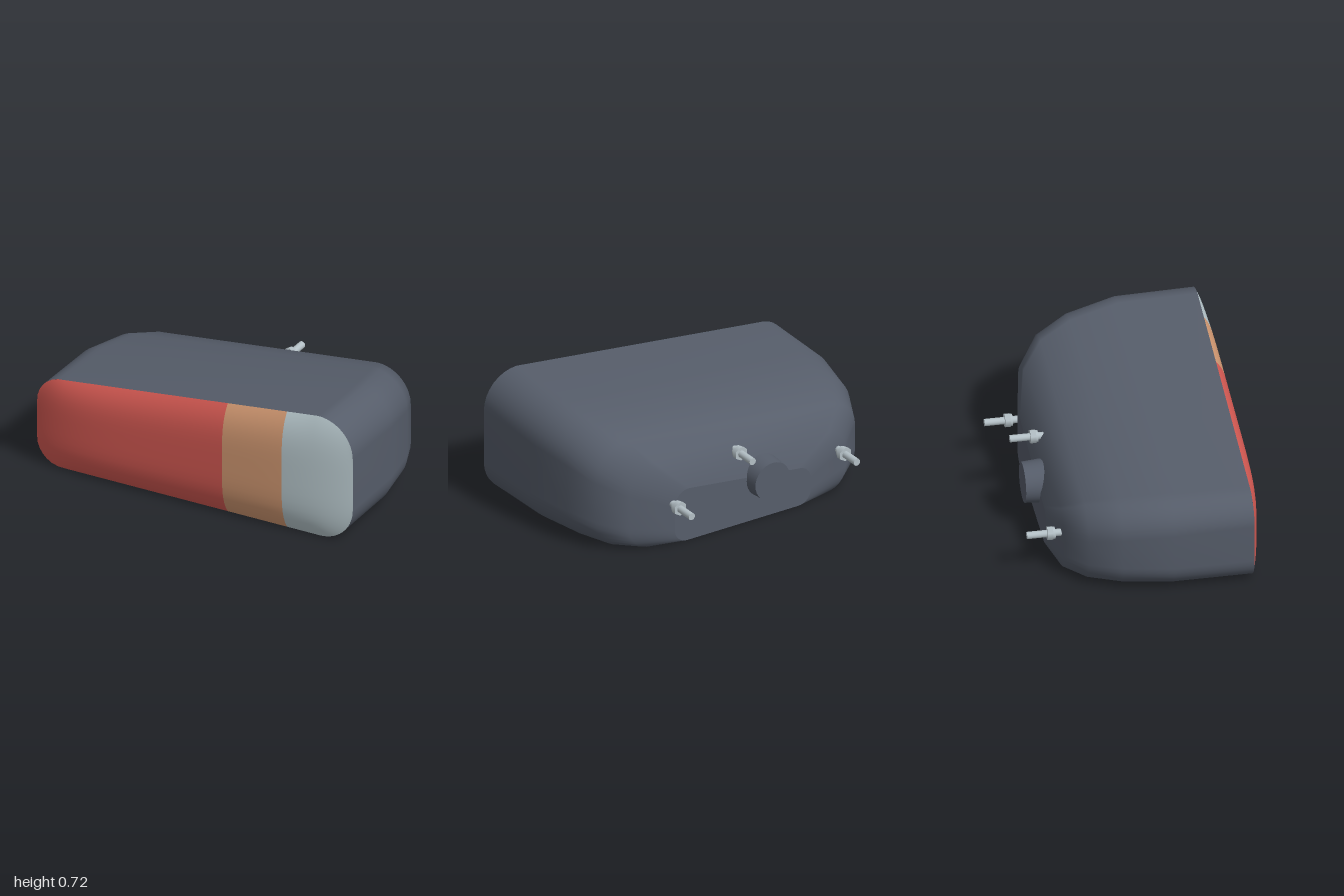
import * as THREE from 'three';

const material = (name, color) => {
  const m = new THREE.MeshStandardMaterial({ color });
  m.name = name;
  return m;
};

const FRONT = 0.48;
const rim = { w: FRONT, l: -1.03, r: 0.89, drop: 0, rad: [0.2, 0.21, 0.16, 0.15] };
const topLine = (u, drop = 0) => 0.634 + 0.12 * u - drop;

// Rounded, sloping-top outline, counter-clockwise: lower right, upper right, upper left, lower left
function corners({ l, r, drop, rad }) {
  return [
    [r - rad[0], rad[0], rad[0]],
    [r - rad[1], topLine(r - rad[1], drop) - rad[1], rad[1]],
    [l + rad[2], topLine(l + rad[2], drop) - rad[2], rad[2]],
    [l + rad[3], rad[3], rad[3]],
  ];
}

function outline(section, steps = 8) {
  const pts = [];
  corners(section).forEach(([cx, cy, rad], k) => {
    for (let i = 0; i <= steps; i++) {
      const a = (k - 1 + i / steps) * Math.PI / 2;
      pts.push([cx + rad * Math.cos(a), cy + rad * Math.sin(a), section.w]);
    }
  });
  return pts;
}

function surface(points, index) {
  const g = new THREE.BufferGeometry();
  g.setAttribute('position', new THREE.Float32BufferAttribute(points.flat(), 3));
  g.setIndex(index);
  g.computeVertexNormals();
  return g;
}

// Housing shell, lofted from the front rim to the back
function housingGeometry(sections) {
  const rings = sections.map((s) => outline(s));
  const n = rings[0].length;
  const index = [];
  for (let i = 0; i < rings.length - 1; i++) {
    for (let j = 0; j < n; j++) {
      const a = i * n + j, b = i * n + (j + 1) % n;
      index.push(a, a + n, b, b, a + n, b + n);
    }
  }
  return surface(rings.flat(), index);
}

// Flat back wall
function capGeometry(section) {
  const ring = outline(section);
  const n = ring.length;
  const index = [];
  for (let j = 0; j < n; j++) index.push(n, (j + 1) % n, j);
  return surface([...ring, [(section.l + section.r) / 2, 0.14, section.w]], index);
}

// Lower and upper edge of the front rim at a given u
function span(u) {
  const [br, tr, tl, bl] = corners(rim);
  const arc = ([cx, , rad]) => Math.sqrt(Math.max(0, rad * rad - (u - cx) ** 2));
  let lo = 0, hi;
  if (u > br[0]) lo = br[1] - arc(br);
  if (u < bl[0]) lo = bl[1] - arc(bl);
  if (u > tr[0]) hi = tr[1] + arc(tr);
  else if (u < tl[0]) hi = tl[1] + arc(tl);
  else hi = THREE.MathUtils.lerp(tl[1] + tl[2], tr[1] + tr[2], (u - tl[0]) / (tr[0] - tl[0]));
  return [lo, hi];
}

// Domed lens strip between two u positions
function lensGeometry(u0, u1, cols = 28, rows = 20) {
  const pts = [], index = [];
  for (let i = 0; i <= cols; i++) {
    const u = u0 + (u1 - u0) * (1 - Math.cos(Math.PI * i / cols)) / 2;
    const [lo, hi] = span(u);
    const s = (u - (rim.l + rim.r) / 2) / ((rim.r - rim.l) / 2);
    for (let j = 0; j <= rows; j++) {
      const t = -Math.cos(Math.PI * j / rows);
      const dome = 0.065 * (1 - Math.abs(t) ** 4) * (1 - Math.abs(s) ** 5);
      pts.push([u, lo + (hi - lo) * (t + 1) / 2, FRONT + dome]);
      if (i < cols && j < rows) {
        const a = i * (rows + 1) + j, c = a + rows + 1;
        index.push(a, c, a + 1, a + 1, c, c + 1);
      }
    }
  }
  return surface(pts, index);
}

export function createModel() {
  const model = new THREE.Group();
  model.name = 'vehicleRearLamp';
  const lamp = new THREE.Group();
  lamp.name = 'lamp';
  lamp.rotation.y = THREE.MathUtils.degToRad(20);
  model.add(lamp);

  const housingMat = material('dark grey housing', 0x565d6a);
  const redMat = material('red lens', 0xd65a53);
  const amberMat = material('amber lens', 0xd49a73);
  const clearMat = material('clear lens', 0xb8c8cd);
  const metalMat = material('steel', 0xb4c0c6);

  const add = (parent, name, geometry, mat) => {
    const mesh = new THREE.Mesh(geometry, mat);
    mesh.name = name;
    parent.add(mesh);
    return mesh;
  };

  // Housing
  const sections = [
    rim,
    { w: 0.05, l: -1.03, r: 0.885, drop: 0.005, rad: [0.2, 0.21, 0.17, 0.15] },
    { w: -0.22, l: -0.98, r: 0.83, drop: 0.04, rad: [0.19, 0.21, 0.17, 0.15] },
    { w: -0.39, l: -0.9, r: 0.757, drop: 0.1, rad: [0.17, 0.2, 0.16, 0.14] },
    { w: -0.5, l: -0.765, r: 0.618, drop: 0.2, rad: [0.14, 0.16, 0.13, 0.12] },
    { w: -0.55, l: -0.51, r: 0.36, drop: 0.36, rad: [0.08, 0.09, 0.08, 0.08] },
  ];
  add(lamp, 'housing', housingGeometry(sections), housingMat);
  add(lamp, 'housingBack', capGeometry(sections[5]), housingMat);

  // Lens in three colours
  add(lamp, 'redLens', lensGeometry(rim.l, 0.13), redMat);
  add(lamp, 'amberLens', lensGeometry(0.13, 0.49), amberMat);
  add(lamp, 'clearLens', lensGeometry(0.49, rim.r), clearMat);

  // Cable boss on the back
  const boss = add(lamp, 'cableBoss', new THREE.CylinderGeometry(0.12, 0.11, 0.14, 32), housingMat);
  boss.rotation.x = Math.PI / 2;
  boss.position.set(-0.215, 0.24, -0.555);

  // Mounting studs: threaded rod, washer and hex nut
  const studs = [[0.37, 0.24, -0.545], [-0.06, 0.42, -0.485], [-0.71, 0.24, -0.51]];
  for (const [u, y, w] of studs) {
    const stud = new THREE.Group();
    stud.name = 'mountingStud';
    stud.position.set(u, y, w);
    stud.rotation.x = -Math.PI / 2;
    lamp.add(stud);
    add(stud, 'rod', new THREE.CylinderGeometry(0.02, 0.02, 0.23, 16), metalMat).position.y = 0.067;
    add(stud, 'washer', new THREE.CylinderGeometry(0.033, 0.033, 0.012, 20), metalMat).position.y = 0.037;
    add(stud, 'nut', new THREE.CylinderGeometry(0.04, 0.04, 0.03, 6), metalMat).position.y = 0.058;
  }

  return model;
}
